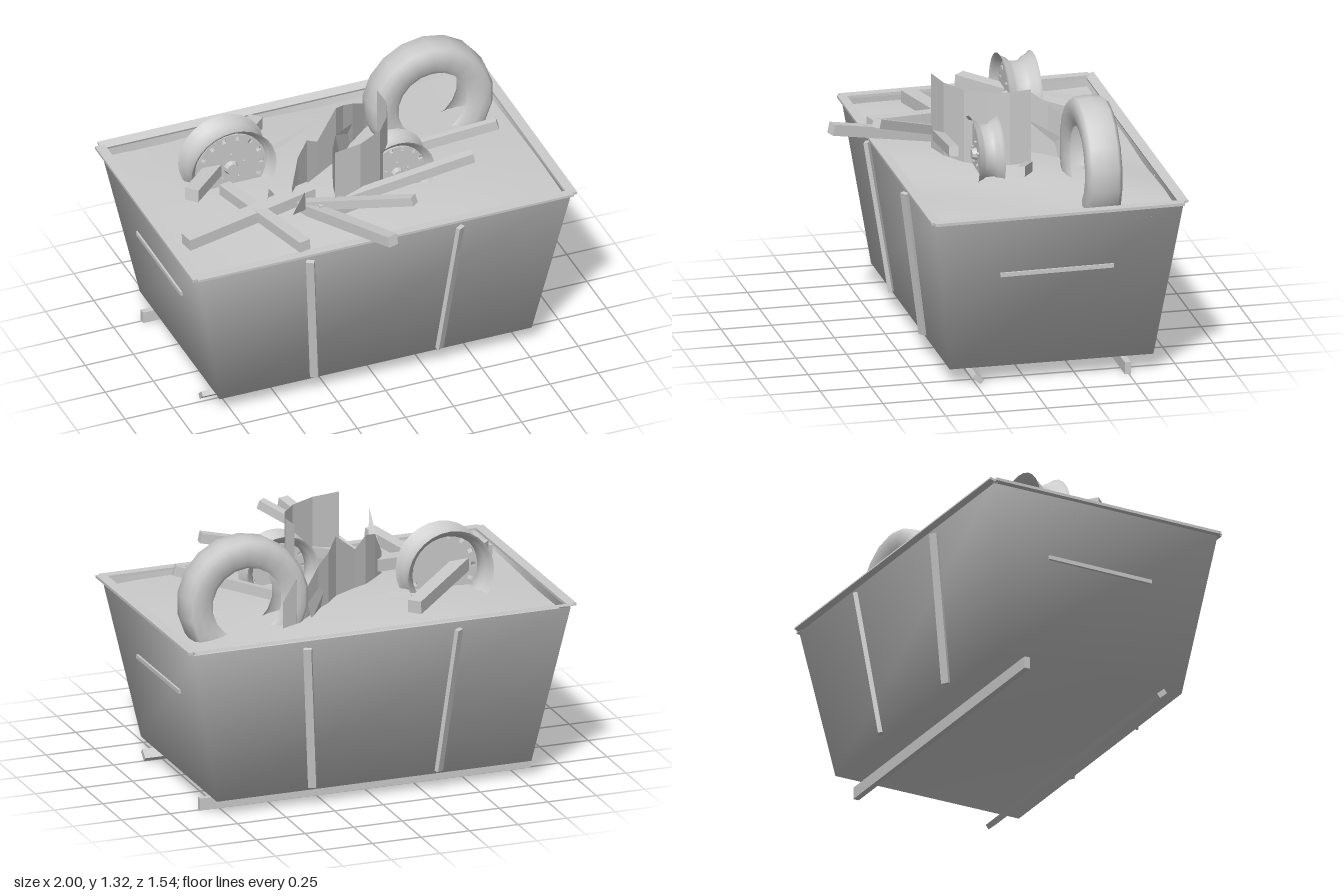
import * as THREE from 'three';

const grey = new THREE.MeshStandardMaterial({ color: 0xcccccc });
const flat = new THREE.MeshStandardMaterial({ color: 0xcccccc, flatShading: true });
const thin = new THREE.MeshStandardMaterial({ color: 0xcccccc, side: THREE.DoubleSide });
const thinFlat = new THREE.MeshStandardMaterial({ color: 0xcccccc, side: THREE.DoubleSide, flatShading: true });

function add(parent, name, geometry, material, x = 0, y = 0, z = 0) {
  const mesh = new THREE.Mesh(geometry, material);
  mesh.name = name;
  mesh.position.set(x, y, z);
  parent.add(mesh);
  return mesh;
}

// Square bar running from point a to point b
function bar(parent, name, a, b, width, height, roll = 0) {
  const from = new THREE.Vector3(...a), to = new THREE.Vector3(...b);
  const mid = from.clone().add(to).multiplyScalar(0.5);
  const mesh = add(parent, name, new THREE.BoxGeometry(width, height, from.distanceTo(to)), flat, ...mid);
  mesh.lookAt(to);
  mesh.rotateZ(roll);
  return mesh;
}

function surface(points, index) {
  const g = new THREE.BufferGeometry();
  g.setAttribute('position', new THREE.Float32BufferAttribute(points.flat(), 3));
  g.setIndex(index);
  g.computeVertexNormals();
  return g;
}

// Upright torn sheet: each entry is [x, z, top height, lean x, lean z]
function sheet(parent, name, rows, base) {
  const points = [], index = [];
  rows.forEach(([x, z, top, lx = 0, lz = 0], i) => {
    points.push([x, base, z], [x + lx, top, z + lz]);
    if (i) {
      const k = i * 2;
      index.push(k - 2, k, k + 1, k - 2, k + 1, k - 1);
    }
  });
  add(parent, name, surface(points, index), thinFlat);
}

// Open tapered tub with shared corner normals
function tub() {
  const ring = (x, y, front, back) => [[-x, y, front], [x, y, front], [x, y, back], [-x, y, back]];
  const index = [0, 2, 1, 0, 3, 2];
  for (let i = 0; i < 4; i++) {
    const j = (i + 1) % 4;
    index.push(i, j, j + 4, i, j + 4, i + 4);
  }
  return surface([...ring(0.81, 0.08, 0.375, -0.63), ...ring(0.97, 0.88, 0.485, -0.74)], index);
}

// Steel wheel: waisted band, slotted disc, hub and bolts
function wheel(radius, halfWidth) {
  const g = new THREE.Group();
  g.name = 'steelWheel';
  const band = [[0, -1], [0.015, -0.85], [0.028, -0.5], [0.045, -0.3], [0.045, 0.3], [0.028, 0.5], [0.015, 0.85], [0, 1]]
    .map(([inset, t]) => new THREE.Vector2(radius - inset, t * halfWidth));
  add(g, 'wheelBand', new THREE.LatheGeometry(band, 28), thin).rotation.x = Math.PI / 2;

  const disc = new THREE.Shape().absarc(0, 0, radius - 0.04, 0, Math.PI * 2);
  const slots = 14;
  for (let i = 0; i < slots; i++) {
    const a = (i / slots) * Math.PI * 2;
    const corner = (r, w) => new THREE.Vector2(r * Math.cos(a) - w * Math.sin(a), r * Math.sin(a) + w * Math.cos(a));
    const r0 = radius * 0.66, r1 = radius * 0.77, w = radius * 0.045;
    disc.holes.push(new THREE.Path([corner(r0, -w), corner(r0, w), corner(r1, w), corner(r1, -w)]));
  }
  add(g, 'wheelDisc', new THREE.ExtrudeGeometry(disc, { depth: 0.012, bevelEnabled: false, curveSegments: 14 }),
    grey, 0, 0, halfWidth * 0.4);
  const hub = add(g, 'wheelHub', new THREE.CylinderGeometry(radius * 0.13, radius * 0.18, 0.03, 10), flat, 0, 0, halfWidth * 0.4 + 0.02);
  hub.rotation.x = Math.PI / 2;
  for (let i = 0; i < 5; i++) {
    const a = (i / 5) * Math.PI * 2 + 0.3, r = radius * 0.32;
    const bolt = add(g, 'wheelBolt', new THREE.CylinderGeometry(0.007, 0.007, 0.012, 6), flat,
      r * Math.cos(a), r * Math.sin(a), halfWidth * 0.4 + 0.016);
    bolt.rotation.x = Math.PI / 2;
  }
  return g;
}

export function createModel() {
  const model = new THREE.Group();
  model.name = 'scrapSkip';

  // Container
  add(model, 'container', tub(), thin);
  const rim = new THREE.Group();
  rim.name = 'rim';
  model.add(rim);
  for (const s of [-1, 1]) {
    add(rim, 'sideRim', new THREE.BoxGeometry(0.05, 0.014, 1.23), flat, s * 0.973, 0.886, -0.125).rotation.x = 0.008;
    // Ribs on the long walls and a rail on each end
    bar(model, 'frontRib', [s * 0.325, 0.1, 0.39], [s * 0.39, 0.845, 0.497], 0.04, 0.022);
    bar(model, 'backRib', [s * 0.325, 0.1, -0.65], [s * 0.39, 0.845, -0.752], 0.04, 0.022);
    bar(model, 'endRail', [s * 0.912, 0.577, 0.15], [s * 0.912, 0.582, -0.41], 0.02, 0.02);
  }
  add(rim, 'frontRim', new THREE.BoxGeometry(1.95, 0.012, 0.045), flat, 0, 0.882, 0.482);
  add(rim, 'backRim', new THREE.BoxGeometry(1.95, 0.012, 0.045), flat, 0, 0.893, -0.742).rotation.x = 0.35;

  // Ground skids
  bar(model, 'frontSkid', [-0.855, 0.034, 0.243], [0.85, 0.034, 0.243], 0.026, 0.052, 0.85);
  bar(model, 'backSkid', [-0.855, 0.031, -0.495], [0.85, 0.031, -0.495], 0.03, 0.06);

  // Uneven top of the load
  const load = new THREE.PlaneGeometry(1.92, 1.2, 12, 8).rotateX(-Math.PI / 2);
  const p = load.attributes.position;
  for (let i = 0; i < p.count; i++) {
    const x = p.getX(i), z = p.getZ(i);
    p.setY(i, 0.835 + 0.055 * Math.cos(x * 1.6) * Math.cos(z * 2.4) + 0.008 * Math.sin(x * 7 + z * 5));
  }
  load.computeVertexNormals();
  add(model, 'loadSurface', load, thin, 0, 0, -0.128);

  // Half-buried tyre, hollow on the inside
  const tyre = [[0.178, -0.062], [0.2, -0.078], [0.25, -0.09], [0.295, -0.085], [0.315, -0.065], [0.322, 0],
    [0.315, 0.065], [0.295, 0.085], [0.25, 0.09], [0.2, 0.078], [0.178, 0.062]].map(([r, y]) => new THREE.Vector2(r, y));
  add(model, 'tyre', new THREE.LatheGeometry(tyre, 18), thin, 0.58, 1.0, -0.378).rotation.x = Math.PI / 2;

  // Loose wheels
  const large = wheel(0.222, 0.083);
  large.position.set(-0.505, 0.973, -0.268);
  const small = wheel(0.186, 0.065);
  small.position.set(0.222, 0.957, 0.066);
  model.add(large, small);

  // Timber: start, end, width, height
  const timbers = [
    [[-0.9, 0.885, 0.17], [-0.2, 0.93, 0.05], 0.075, 0.06],
    [[-0.78, 0.99, -0.05], [-0.22, 0.93, -0.6], 0.07, 0.065],
    [[-0.56, 0.9, -0.17], [-0.41, 0.93, 0.48], 0.06, 0.055],
    [[-0.27, 0.88, 0.08], [-0.065, 1.04, 0.75], 0.055, 0.055],
    [[-0.28, 0.9, 0.1], [0.12, 1.115, 0.57], 0.045, 0.045],
    [[-0.22, 0.925, 0.2], [0.54, 1.09, 0.29], 0.045, 0.05],
    [[0.33, 0.91, -0.13], [0.78, 1.045, 0.015], 0.035, 0.05],
  ];
  for (const t of timbers) bar(model, 'timber', ...t);

  // Torn sheet metal
  sheet(model, 'curvedSheet', [[0.23, -0.165, 1.265], [0.235, -0.06, 1.26], [0.2, 0.04, 1.255], [0.12, 0.14, 1.25],
    [-0.01, 0.21, 1.25], [-0.155, 0.235, 1.25]], 0.86);
  sheet(model, 'longSheet', [[0.42, -0.5, 1.0], [0.34, -0.47, 1.1], [0.27, -0.42, 1.02], [0.17, -0.33, 1.1],
    [0.1, -0.28, 1.14], [0.03, -0.2, 1.19], [-0.1, -0.12, 1.08], [-0.17, -0.08, 1.13], [-0.25, 0, 1.1],
    [-0.31, 0.07, 0.98]], 0.85);
  sheet(model, 'leaningSheet', [[0.24, -0.42, 0.95, 0.02, 0], [0.06, -0.2, 1.05, -0.04, 0.02], [-0.03, 0, 1.1, -0.04, 0],
    [-0.1, 0.15, 1.0, -0.03, 0]], 0.86);

  // Loose shards
  const shards = [
    [[-0.35, 0.9, -0.36], [-0.2, 0.93, -0.35], [0.09, 0.95, -0.49]],
    [[-0.34, 1.12, 0.31], [-0.36, 0.92, 0.2], [-0.3, 0.95, 0.22]],
    [[-0.48, 0.93, 0.15], [-0.4, 0.96, 0.0], [-0.36, 0.9, -0.02]],
    [[0.18, 0.98, -0.17], [0.24, 0.96, -0.16], [0.21, 0.88, -0.11]],
  ];
  for (const s of shards) add(model, 'shard', surface(s, [0, 1, 2]), thinFlat);

  return model;
}
